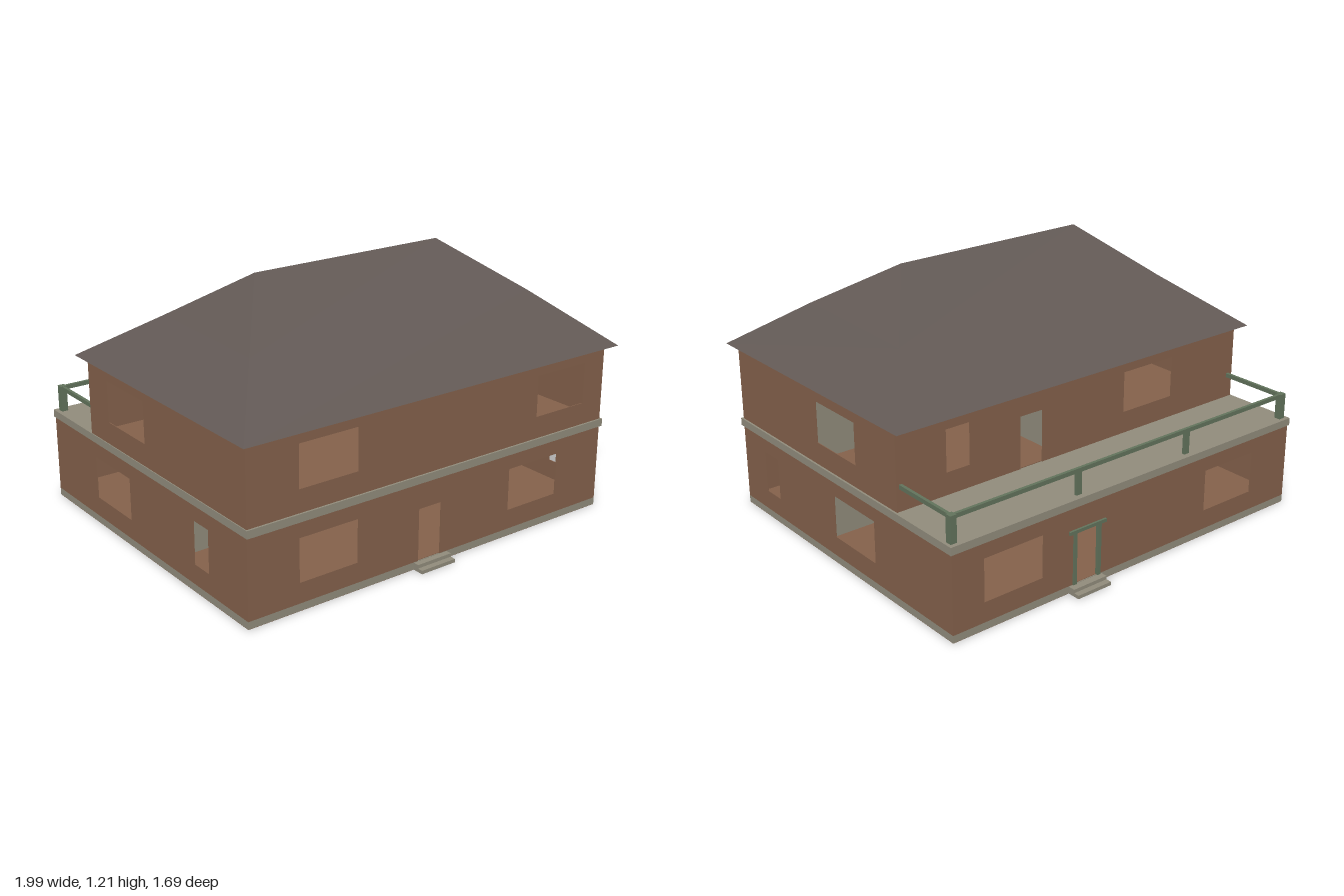
import * as THREE from 'three';

const mat = (name, color, side = THREE.FrontSide) => {
  const m = new THREE.MeshStandardMaterial({ color, side });
  m.name = name;
  return m;
};

export function createModel() {
  const brick = mat('brick brown', 0x84614b);
  const stone = mat('stone grey', 0x918c7c);
  const slate = mat('roof slate', 0x625955, THREE.DoubleSide);
  const green = mat('railing green', 0x62735c);

  const house = new THREE.Group();
  house.name = 'house';

  // Outer faces of the walls and levels; the walls are thin sheets
  const X0 = -0.955, X1 = 0.965, Z0 = -0.79, Z1 = 0.785, ZU = -0.435;
  const BASE = 0.034, BELT = 0.39, FLOOR = 0.425, EAVE = 0.78, T = 0.004;

  const add = (name, geo, material) => {
    const m = new THREE.Mesh(geo, material);
    m.name = name;
    house.add(m);
    return m;
  };
  // Box given by its minimum and maximum along each axis
  const box = (name, material, x0, x1, y0, y1, z0, z1) => {
    const m = add(name, new THREE.BoxGeometry(x1 - x0, y1 - y0, z1 - z0), material);
    m.position.set((x0 + x1) / 2, (y0 + y1) / 2, (z0 + z1) / 2);
  };

  // Flat wall with windows [u0, u1, y0, y1] and an optional doorway [u0, u1, top]
  const wall = (name, u0, u1, y0, y1, windows, door) => {
    const pts = [[u0, y0]];
    if (door) pts.push([door[0], y0], [door[0], door[2]], [door[1], door[2]], [door[1], y0]);
    pts.push([u1, y0], [u1, y1], [u0, y1]);
    const shape = new THREE.Shape(pts.map(p => new THREE.Vector2(...p)));
    for (const [a, b, c, d] of windows) {
      shape.holes.push(new THREE.Path([[a, c], [a, d], [b, d], [b, c]].map(p => new THREE.Vector2(...p))));
    }
    return add(name, new THREE.ExtrudeGeometry(shape, { depth: T, bevelEnabled: false }), brick);
  };
  const frontBack = (name, z, ...args) => { wall(name, X0, X1, ...args).position.z = z; };
  const side = (name, x, z0, ...args) => {
    const m = wall(name, z0 + T, Z1 - T, ...args);
    m.rotation.y = -Math.PI / 2;
    m.position.x = x;
  };

  // Ground storey
  const lo = [0.125, 0.319], hi = [0.526, 0.715];
  frontBack('lowerFrontWall', Z1 - T, BASE, BELT, [[-0.71, -0.42, ...lo], [0.41, 0.7, ...lo]], [-0.1, 0.02, 0.272]);
  frontBack('lowerBackWall', Z0, BASE, BELT, [[0.51, 0.81, ...lo], [-0.72, -0.42, ...lo]], [0.21, 0.34, 0.272]);
  side('lowerLeftWall', X1, Z0, BASE, BELT, [[-0.265, 0.035, ...lo], [0.495, 0.605, ...lo]]);
  side('lowerRightWall', X0 + T, Z0, BASE, BELT, [[-0.41, -0.11, ...lo], [0.4, 0.51, ...lo]]);

  // Upper storey
  frontBack('upperFrontWall', Z1 - T, FLOOR, EAVE, [[-0.71, -0.42, ...hi], [0.56, 0.845, ...hi]]);
  frontBack('upperBackWall', ZU, FLOOR, EAVE, [[0.6, 0.72, ...hi], [-0.55, -0.255, ...hi]], [0.215, 0.335, 0.665]);
  side('upperLeftWall', X1, ZU, FLOOR, EAVE, [[-0.145, 0.145, ...hi]]);
  side('upperRightWall', X0 + T, ZU, FLOOR, EAVE, [[-0.27, 0.035, ...hi]]);

  // Plinth with thin brown faces for the ground floor and the underside
  box('plinth', stone, X0, X1, 0.001, BASE, Z0, Z1);
  box('groundFloor', brick, X0 + T, X1 - T, BASE, BASE + 0.002, Z0 + T, Z1 - T);
  box('undersidePlate', brick, X0, X1, 0, 0.001, Z0, Z1);

  // Slab between the storeys, also the balcony deck
  box('beltSlab', stone, -0.959, 0.974, BELT, FLOOR, -0.798, 0.794);
  box('upperFloor', brick, X0 + T, X1 - T, FLOOR, FLOOR + 0.003, ZU + T, Z1 - T);

  // Inner partitions of both storeys: [name, bottom, top, middle x, middle back end]
  for (const [name, y0, y1, x, z] of [['lower', BASE, BELT, 0.36, -0.3], ['upper', FLOOR, EAVE, 0.1, ZU + T]]) {
    box(name + 'PartitionRight', stone, X0 + T, -0.23, y0, y1, 0.14, 0.16);
    box(name + 'PartitionLeft', stone, x, X1 - T, y0, y1, 0.18, 0.2);
    box(name + 'PartitionMiddle', stone, x, x + 0.02, y0, y1, z, 0.18);
  }

  // Door steps
  box('frontLowerStep', stone, -0.122, 0.06, 0, 0.016, Z1, 0.838);
  box('frontUpperStep', stone, -0.122, 0.06, 0.016, 0.032, Z1, 0.812);
  box('backLowerStep', stone, 0.19, 0.37, 0, 0.016, -0.85, Z0);
  box('backUpperStep', stone, 0.19, 0.37, 0.016, 0.032, -0.823, Z0);

  // Back door frame
  for (const x of [0.2, 0.333]) box('doorPost', green, x, x + 0.017, BASE, 0.272, -0.797, -0.782);
  box('doorLintel', green, 0.175, 0.375, 0.272, 0.287, -0.8, -0.782);

  // Balcony railing
  const RX0 = -0.925, RX1 = 0.945, RZ = -0.764;
  for (const x of [RX0, RX1]) {
    box('cornerPost', green, x - 0.015, x + 0.015, FLOOR, 0.545, RZ - 0.015, RZ + 0.015);
    box('sideRail', green, x - 0.007, x + 0.007, 0.525, 0.544, RZ, ZU);
  }
  for (const x of [-0.315, 0.305]) {
    box('middlePost', green, x - 0.014, x + 0.014, FLOOR, 0.526, RZ - 0.007, RZ + 0.007);
  }
  box('backRail', green, RX0, RX1, 0.525, 0.544, RZ - 0.007, RZ + 0.007);

  // Hipped roof from eave, middle and ridge rings; the hips are a little uneven
  const eave = [[-0.995, 0.838], [0.995, 0.838], [0.99, -0.485], [-0.99, -0.485]]
    .map(([x, z]) => new THREE.Vector3(x, EAVE, z));
  const ridge = [-0.488, 0.49, 0.49, -0.488].map(x => new THREE.Vector3(x, 1.212, 0.175));
  const shift = [[0, -0.01], [0, 0.01], [0, -0.014], [0.012, 0]];
  const middle = eave.map((p, i) => p.clone().lerp(ridge[i], 0.5).add(new THREE.Vector3(...shift[i], 0)));
  const tri = [];
  const face = (a, b, c) => tri.push(a, b, c);
  for (let i = 0; i < 4; i++) {
    const j = (i + 1) % 4;
    face(eave[i], eave[j], middle[j]);
    face(eave[i], middle[j], middle[i]);
    face(middle[i], middle[j], ridge[j]);
    if (i % 2 === 0) face(middle[i], ridge[j], ridge[i]);
  }
  // Soffit closing the roof from below
  face(eave[0], eave[2], eave[1]);
  face(eave[0], eave[3], eave[2]);
  const roofGeo = new THREE.BufferGeometry().setFromPoints(tri);
  roofGeo.computeVertexNormals();
  add('roof', roofGeo, slate);

  return house;
}
